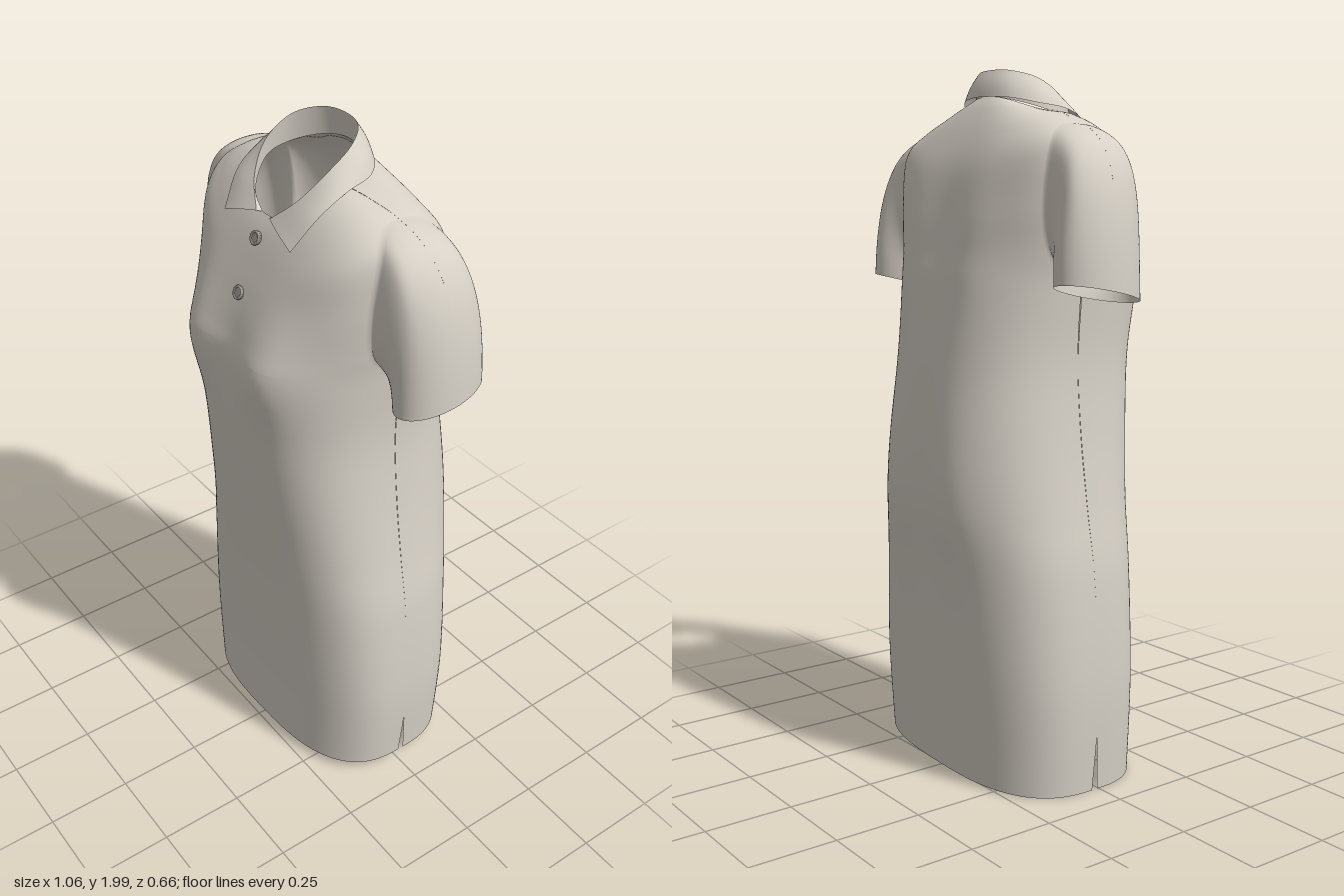
import * as THREE from 'three';
import { mergeGeometries, mergeVertices } from 'three/addons/utils/BufferGeometryUtils.js';

// Surface from a rule fn(u, v) -> [x, y, z]
function grid(nu, nv, fn) {
  const pos = [], idx = [];
  for (let j = 0; j <= nv; j++)
    for (let i = 0; i <= nu; i++) pos.push(...fn(i / nu, j / nv));
  for (let j = 0; j < nv; j++)
    for (let i = 0; i < nu; i++) {
      const a = j * (nu + 1) + i, b = a + 1, d = a + nu + 1, c = d + 1;
      idx.push(a, b, c, a, c, d);
    }
  const g = new THREE.BufferGeometry();
  g.setAttribute('position', new THREE.Float32BufferAttribute(pos, 3));
  g.setIndex(idx);
  return g;
}

// Weld seams and smooth the normals
function smooth(...geos) {
  const g = mergeVertices(mergeGeometries(geos), 1e-4);
  g.computeVertexNormals();
  return g;
}

// Smooth interpolation through a list of section rows
function section(rows, v) {
  const n = rows.length - 1, f = v * n, i = Math.min(Math.floor(f), n - 1), t = f - i;
  const at = k => rows[Math.max(0, Math.min(n, k))];
  return rows[0].map((_, k) => {
    const p0 = at(i - 1)[k], p1 = at(i)[k], p2 = at(i + 1)[k], p3 = at(i + 2)[k];
    const m1 = (p2 - p0) / 2, m2 = (p3 - p1) / 2;
    return p1 + t * (m1 + t * (3 * (p2 - p1) - 2 * m1 - m2 + t * (2 * (p1 - p2) + m1 + m2)));
  });
}

// Dress sections: front y, side y, back y, half width, side z, front z, back z, squareness
const flat = (y, w, zf, zb, n) => [y, y, y, w, -0.015, zf, zb, n];
const BODY = [
  flat(0.02, 0.408, 0.235, -0.275, 2.8),
  flat(0.3, 0.42, 0.237, -0.288, 2.8),
  flat(0.6, 0.402, 0.246, -0.298, 2.7),
  flat(0.8, 0.368, 0.264, -0.314, 2.6),
  flat(1.0, 0.338, 0.286, -0.312, 2.6),
  flat(1.2, 0.322, 0.307, -0.298, 2.5),
  flat(1.4, 0.334, 0.312, -0.272, 2.4),
  flat(1.5, 0.347, 0.29, -0.252, 2.5),
  [1.6, 1.64, 1.61, 0.362, -0.025, 0.258, -0.232, 2.8],
  [1.67, 1.785, 1.73, 0.362, -0.035, 0.23, -0.203, 3],
  [1.72, 1.84, 1.82, 0.305, -0.015, 0.208, -0.163, 2.8],
  [1.755, 1.872, 1.89, 0.22, 0.015, 0.19, -0.12, 2.5],
  [1.785, 1.885, 1.925, 0.15, 0.035, 0.17, -0.09, 2.3],
];
const bump = (x, y, cx, cy, rx, ry) =>
  Math.exp(-(((Math.abs(x) - cx) / rx) ** 2) - ((y - cy) / ry) ** 2);

// Armhole: rows ARM0..ARM1 of ROWS, spaced like the points of a circle
const ROWS = 96, ARM0 = 51, ARM1 = 80, ARM = ARM1 - ARM0;
const armV = a => (ARM0 + ARM1 + ARM * Math.cos(a)) / 2 / ROWS;
const armClip = (side, a) => (side > 0 ? 0.1 : 0.15) * Math.sin(a);

// One point of the front (side = 1) or back (side = -1) panel
function bodyPoint(side, u, v) {
  const [yf, ys, yb, w, zs, zf, zb, n] = section(BODY, v);
  const c = -side * Math.cos(Math.PI * u), s = Math.abs(Math.sin(Math.PI * u)), e = 2 / n;
  const x = w * Math.sign(c) * Math.abs(c) ** e;
  let y = ys + ((side > 0 ? yf : yb) - ys) * s * s;
  let z = zs + ((side > 0 ? zf : zb) - zs) * s ** e;
  if (side > 0) z += 0.036 * bump(x, y, 0.17, 1.42, 0.1, 0.15);
  else z -= 0.02 * bump(x, y, 0.14, 0.82, 0.12, 0.28) + 0.014 * bump(x, y, 0.16, 1.5, 0.1, 0.22);
  // side slits and a slightly slanting hem
  z += side * 0.01 * Math.max(0, 1 - y / 0.17) * (1 - s) ** 6;
  y += 0.04 * x * Math.max(0, 1 - y / 0.3);
  return [x, y, z];
}

// Panel narrowed beside the armholes
function panelPoint(side, u, v) {
  const row = Math.round(v * ROWS);
  if (row <= ARM0 || row >= ARM1) return bodyPoint(side, u, v);
  const a = Math.PI * (ARM1 - row) / ARM, clip = armClip(side, a);
  return bodyPoint(side, clip + u * (1 - 2 * clip), armV(a));
}

// Sleeve: each strand curves from the armhole edge out and down to the cuff
function sleevePoint(sx, u, t) {
  const a = 2 * Math.PI * u, front = u <= 0.5 ? 1 : -1, h = (1 + Math.cos(a)) / 2;
  const clip = armClip(front, u <= 0.5 ? a : 2 * Math.PI - a);
  const [lx, ly, lz] = bodyPoint(front, front > 0 ? 1 - clip : clip, armV(a));
  const cz = 0.13 * Math.sin(a);
  const cuff = [0.356 + 0.172 * h, 1.383 + 0.017 * h - 0.2 * cz, -0.05 + cz];
  const p1 = [lx + 0.01 + 0.145 * h, ly - 0.015 - 0.008 * h, lz];
  const p2 = [cuff[0] - 0.006 - 0.007 * h, cuff[1] + 0.03 + 0.25 * h, cuff[2]];
  const q = 1 - t;
  const p = [lx, ly, lz].map((l, k) =>
    q * q * q * l + 3 * q * q * t * p1[k] + 3 * q * t * t * p2[k] + t * t * t * cuff[k]);
  return [sx * p[0], p[1], p[2]];
}

// Symmetric curve given from the front left end to the middle of the back
function mirrored(half) {
  const pts = half.concat(half.slice(0, -1).reverse().map(([x, y, z]) => [-x, y, z]));
  return new THREE.CatmullRomCurve3(pts.map(p => new THREE.Vector3(...p)));
}

export function createModel() {
  const model = new THREE.Group();
  const fabric = new THREE.MeshStandardMaterial({ color: 0xd6d0c6, side: THREE.DoubleSide });
  fabric.name = 'stone fabric';
  const buttonMat = new THREE.MeshStandardMaterial({ color: 0x9c9892 });
  buttonMat.name = 'grey button';
  const add = (name, geo, mat = fabric, parent = model) => {
    const m = new THREE.Mesh(geo, mat);
    m.name = name;
    parent.add(m);
    return m;
  };

  // Dress: front and back panels welded to both short sleeves
  const panels = [1, -1].map(s => grid(56, ROWS, (u, v) => panelPoint(s, u, v)));
  const sleeves = [1, -1].map(sx =>
    grid(2 * ARM, 28, (u, t) => sleevePoint(sx, sx > 0 ? u : 1 - u, t)));
  add('dressBodyAndSleeves', smooth(...panels, ...sleeves));

  // Collar: folded outer fall and inner stand
  const top = mirrored([[0.03, 1.787, 0.182], [0.095, 1.85, 0.142], [0.132, 1.92, 0.08],
    [0.127, 1.972, 0], [0.075, 1.994, -0.06], [0, 1.998, -0.078]]);
  const low = mirrored([[0.15, 1.75, 0.203], [0.182, 1.84, 0.135], [0.188, 1.885, 0.06],
    [0.167, 1.902, -0.035], [0.1, 1.918, -0.09], [0, 1.924, -0.108]]);
  const neck = mirrored([[0.02, 1.785, 0.17], [0.09, 1.815, 0.143], [0.14, 1.872, 0.07],
    [0.138, 1.892, 0], [0.08, 1.915, -0.068], [0, 1.925, -0.09]]);
  const strip = (from, to, puff) => smooth(grid(64, 8, (u, v) => {
    const p = from.getPoint(u).lerp(to.getPoint(u), v), k = puff * Math.sin(Math.PI * v);
    return [p.x * (1 + k), p.y + k * 0.08, p.z + k * (p.z - 0.04)];
  }));
  add('collarFall', strip(low, top, 0.03));
  add('collarStand', strip(neck, top, 0));

  // Two buttons with raised rims
  [[1.73, 0.206], [1.59, 0.264]].forEach(([y, z], i) => {
    const button = new THREE.Group();
    button.name = i ? 'lowerButton' : 'upperButton';
    add('buttonDisc', new THREE.CylinderGeometry(0.018, 0.018, 0.01, 24), buttonMat, button);
    const rim = add('buttonRim', new THREE.TorusGeometry(0.016, 0.004, 8, 24), buttonMat, button);
    rim.rotation.x = Math.PI / 2;
    rim.position.y = 0.004;
    button.position.set(0.003, y, z);
    button.rotation.x = Math.PI / 2 - 0.38;
    model.add(button);
  });

  return model;
}
